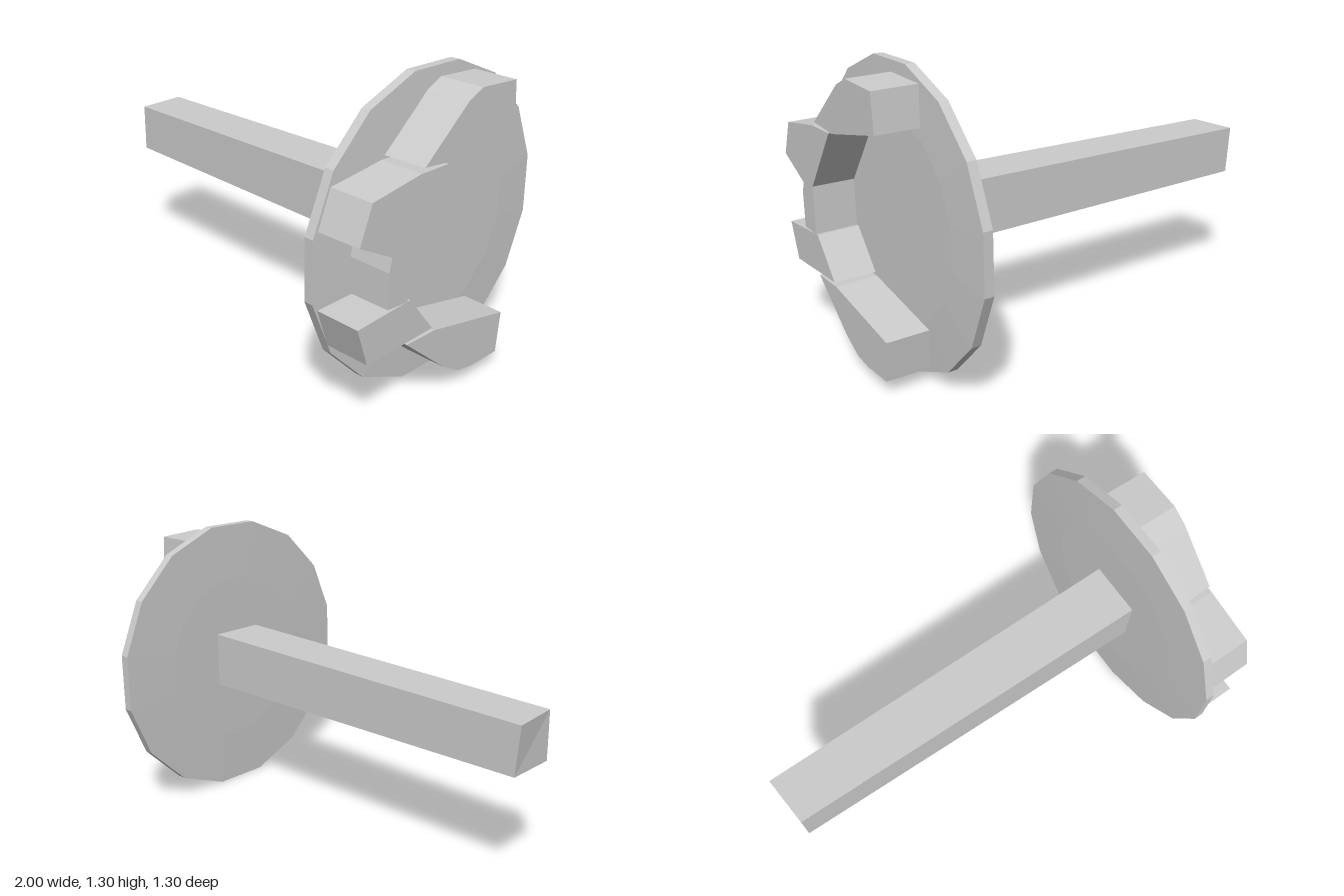
import * as THREE from 'three';

const grey = new THREE.MeshStandardMaterial({ color: 0xcccccc, flatShading: true });
const MID_Y = 0.65;

function addMesh(group, name, geometry) {
  const mesh = new THREE.Mesh(geometry, grey);
  mesh.name = name;
  group.add(mesh);
}

// Block standing on the disc face: outline as [z, y], extruded along +x with a slight draft
function block(outline, x0 = 0.8, x1 = 1, draft = 0.985) {
  const shape = new THREE.Shape(outline.map(([z, y]) => new THREE.Vector2(-z, y)));
  const geo = new THREE.ExtrudeGeometry(shape, { depth: x1 - x0, bevelEnabled: false });
  geo.rotateY(Math.PI / 2).translate(x0, 0, 0);
  const cz = outline.reduce((s, p) => s + p[0], 0) / outline.length;
  const cy = outline.reduce((s, p) => s + p[1], 0) / outline.length;
  const pos = geo.attributes.position;
  for (let i = 0; i < pos.count; i++) {
    if (pos.getX(i) < x1 - 0.01) continue;
    pos.setY(i, cy + (pos.getY(i) - cy) * draft);
    pos.setZ(i, cz + (pos.getZ(i) - cz) * draft);
  }
  geo.computeVertexNormals();
  return geo;
}

export function createModel() {
  const model = new THREE.Group();
  model.name = 'brandingIron';

  // Shaft, thinning towards a slightly slanted free end
  const shaft = new THREE.BoxGeometry(1.76, 0.255, 0.25);
  shaft.translate(-0.12, 0.6525, 0);
  const p = shaft.attributes.position;
  for (let i = 0; i < p.count; i++) {
    if (p.getX(i) > 0) continue;
    const top = p.getY(i) > MID_Y, back = p.getZ(i) < 0;
    p.setXYZ(i, top && back ? -1 : -0.98, top ? 0.755 : 0.535, back ? -0.12 : 0.11);
  }
  shaft.computeVertexNormals();
  addMesh(model, 'shaft', shaft);

  // Sixteen-sided plate, very slightly domed on both faces
  const radius = 0.65 / Math.cos(Math.PI / 16);
  const profile = [[0, 0.752], [0.4, 0.752], [radius, 0.758], [radius, 0.8], [0.45, 0.81], [0, 0.81]]
    .map(([r, x]) => new THREE.Vector2(r, x));
  const plate = new THREE.LatheGeometry(profile, 16, Math.PI / 16);
  plate.rotateZ(-Math.PI / 2).translate(0, MID_Y, 0);
  addMesh(model, 'plate', plate);

  // Raised blocks curving round the front side of the plate
  const blocks = {
    topBlock: [[0.295, 1.015], [0.06, 1.215], [-0.02, 1.253], [-0.23, 1.243], [-0.24, 1.075], [0.13, 1.0]],
    upperBlock: [[0.31, 1.0], [0.155, 1.0], [0.355, 0.72], [0.45, 0.715], [0.625, 0.805], [0.565, 0.96]],
    middleBlock: [[0.45, 0.725], [0.465, 0.66], [0.465, 0.51], [0.355, 0.505], [0.355, 0.725]],
    lowerBlock: [[0.625, 0.49], [0.34, 0.51], [0.2, 0.338], [0.57, 0.325]],
    bottomBlock: [[0.355, 0.325], [0.19, 0.325], [-0.25, 0.24], [-0.23, 0.06], [-0.07, 0.058], [0.02, 0.072], [0.12, 0.13]],
  };
  for (const [name, outline] of Object.entries(blocks)) addMesh(model, name, block(outline));

  return model;
}
